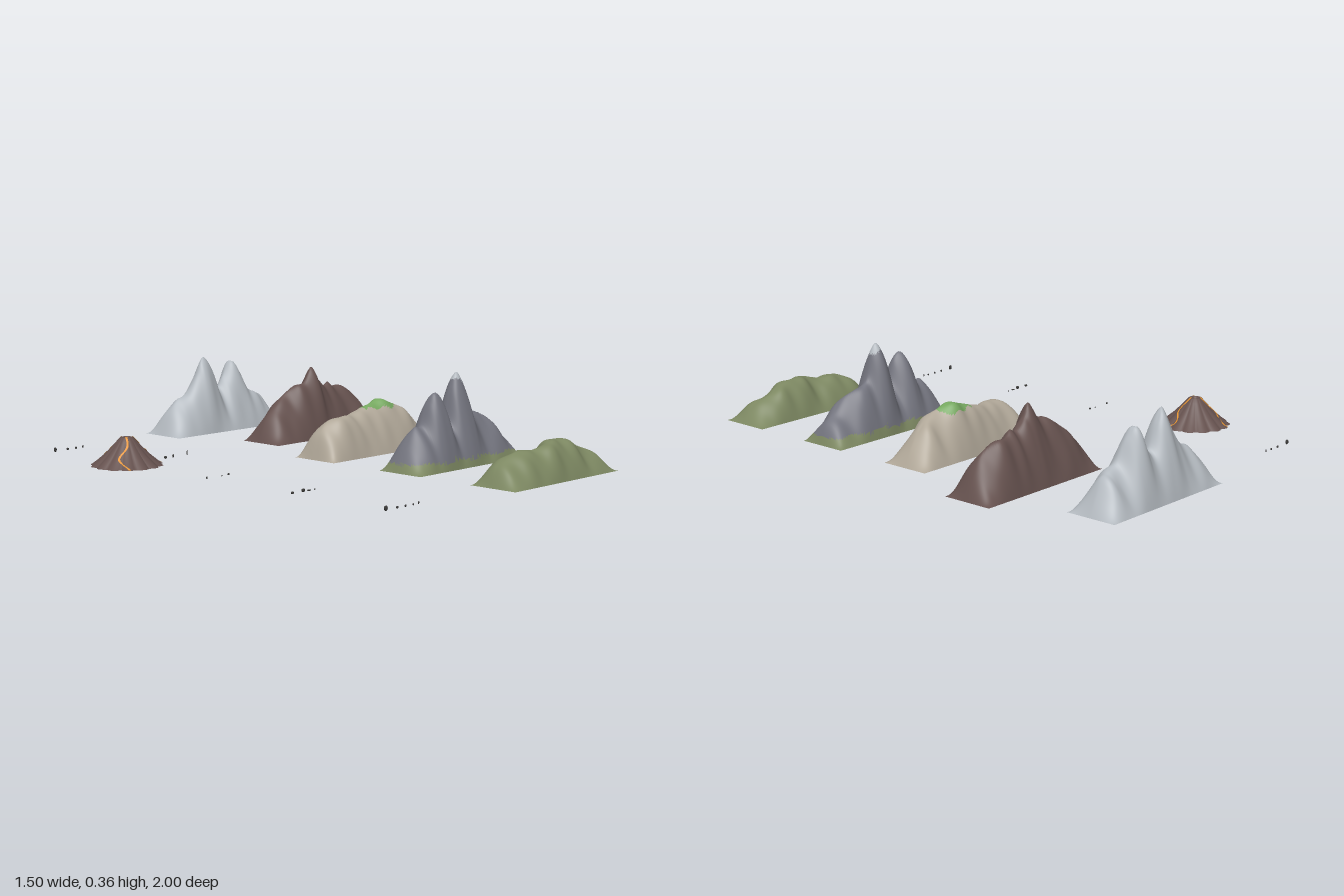
import * as THREE from 'three';

const paint = (name, color) => {
  const m = new THREE.MeshStandardMaterial({ color, side: THREE.DoubleSide });
  m.name = name;
  return m;
};

export function createModel() {
  const model = new THREE.Group();
  model.name = 'mountainSet';
  const mat = {
    heath: paint('heath green', 0x7d8862),
    slate: paint('slate grey', 0x74757f),
    sand: paint('sandstone', 0xb0a798),
    grass: paint('fresh grass', 0x76a860),
    brown: paint('dark brown rock', 0x66524f),
    snow: paint('pale snow', 0xb4bac0),
    lava: paint('lava orange', 0xf09a30),
    dark: paint('dark stone', 0x3c3b39),
  };

  // Open shell: a crest profile swept along x with a rounded, gullied cross-section.
  // pick(x, y, t) returns the index of the material used for a face.
  function ridge(name, z0, crest, power, seed, mats, pick = () => 0) {
    const nx = 110, nz = 40, half = 0.105;
    const curve = new THREE.SplineCurve(crest.map(([x, y]) => new THREE.Vector2(x, y)));
    const pos = [], faces = mats.map(() => []);
    for (let i = 0; i <= nx; i++) {
      const p = curve.getPoint(i / nx);
      const h = Math.max(0, p.y);
      const shift = 0.13 * Math.sin(17 * p.x + seed) + 0.06 * Math.sin(41 * p.x + seed * 2);
      for (let j = 0; j <= nz; j++) {
        const t = (j / nz) * 2 - 1;
        const s = Math.min(1, Math.abs(t + shift * (1 - t * t)));
        const gully = Math.sin(48 * p.x + seed + 2.5 * t) + 0.6 * Math.sin(83 * p.x + seed * 3 - 3 * t);
        const y = h * (1 - Math.pow(s, power) + 0.07 * gully * s * (1 - s) * 2);
        pos.push(p.x, Math.max(0, y), z0 + half * t);
      }
    }
    const w = nz + 1;
    for (let i = 0; i < nx; i++) for (let j = 0; j < nz; j++) {
      const a = i * w + j, b = a + 1, c = a + w, d = c + 1;
      for (const f of [[a, b, c], [b, d, c]]) {
        const mid = k => f.reduce((sum, v) => sum + pos[v * 3 + k], 0) / 3;
        faces[pick(mid(0), mid(1), (mid(2) - z0) / half)].push(...f);
      }
    }
    const geo = new THREE.BufferGeometry();
    geo.setAttribute('position', new THREE.Float32BufferAttribute(pos, 3));
    geo.setIndex(faces.flat());
    let start = 0;
    faces.forEach((f, k) => { geo.addGroup(start, f.length, k); start += f.length; });
    geo.computeVertexNormals();
    const mesh = new THREE.Mesh(geo, mats);
    mesh.name = name;
    model.add(mesh);
  }

  ridge('greenHills', 0.895, [[-0.03, 0], [0.01, 0.07], [0.07, 0.105], [0.12, 0.12], [0.19, 0.117], [0.25, 0.13],
    [0.32, 0.142], [0.4, 0.135], [0.46, 0.11], [0.54, 0.07], [0.6, 0]], 2, 0.5, [mat.heath]);

  // Slate peaks with a green foot and a snowy tip
  ridge('slatePeaks', 0.445, [[-0.03, 0], [0.01, 0.095], [0.055, 0.165], [0.095, 0.17], [0.125, 0.25], [0.152, 0.293],
    [0.185, 0.265], [0.215, 0.18], [0.24, 0.172], [0.27, 0.29], [0.302, 0.357], [0.33, 0.325], [0.358, 0.23],
    [0.39, 0.2], [0.43, 0.19], [0.47, 0.168], [0.52, 0.115], [0.57, 0.075], [0.6, 0]], 1.7, 1.7,
    [mat.slate, mat.heath, mat.snow],
    (x, y) => y < 0.036 + 0.004 * Math.sin(40 * x) ? 1 : y > 0.325 + 0.008 * Math.sin(90 * x) ? 2 : 0);

  // Sandstone ridge with a grassy top
  ridge('sandstoneRidge', 0, [[-0.03, 0], [0, 0.1], [0.05, 0.148], [0.12, 0.16], [0.2, 0.163], [0.27, 0.182],
    [0.31, 0.195], [0.35, 0.205], [0.39, 0.193], [0.44, 0.172], [0.49, 0.145], [0.54, 0.095], [0.6, 0]], 2, 3.1,
    [mat.sand, mat.grass],
    (x, y) => x > 0.26 && x < 0.41 && y > 0.174 + 0.006 * Math.sin(95 * x) ? 1 : 0);

  ridge('brownMountains', -0.455, [[0.12, 0], [0.16, 0.09], [0.21, 0.145], [0.27, 0.19], [0.32, 0.222], [0.36, 0.235],
    [0.41, 0.295], [0.445, 0.248], [0.49, 0.208], [0.525, 0.22], [0.56, 0.2], [0.615, 0.195], [0.67, 0.155],
    [0.71, 0.095], [0.75, 0]], 1.65, 4.4, [mat.brown]);

  ridge('snowPeaks', -0.895, [[-0.03, 0], [0.01, 0.09], [0.055, 0.145], [0.1, 0.165], [0.15, 0.24], [0.18, 0.298],
    [0.21, 0.317], [0.245, 0.27], [0.29, 0.178], [0.33, 0.22], [0.375, 0.284], [0.41, 0.25], [0.45, 0.165],
    [0.5, 0.14], [0.54, 0.115], [0.6, 0]], 1.75, 2.4, [mat.snow]);

  // Fluted volcano, open underneath
  const volcano = new THREE.Group();
  volcano.name = 'volcano';
  volcano.position.set(-0.61, 0, -0.45);
  model.add(volcano);
  const flute = (a, r) => r * (1 - 0.09 * Math.min(1, r / 0.14) * (1 - Math.abs(Math.cos(a * 7))));
  const profile = [[0.142, 0], [0.12, 0.016], [0.09, 0.041], [0.06, 0.071], [0.04, 0.093], [0.026, 0.108],
    [0.02, 0.11], [0.014, 0.106], [0.007, 0.095], [0, 0.092]].map(([r, y]) => new THREE.Vector2(r, y)).reverse();
  const cone = new THREE.LatheGeometry(profile.reverse(), 112);
  const cp = cone.attributes.position;
  for (let i = 0; i < cp.count; i++) {
    const x = cp.getX(i), z = cp.getZ(i), r = Math.hypot(x, z), a = Math.atan2(z, x);
    const k = r > 1e-6 ? flute(a, r) / r : 1;
    cp.setXYZ(i, x * k, cp.getY(i), z * k);
  }
  cone.computeVertexNormals();
  const body = new THREE.Mesh(cone, mat.brown);
  body.name = 'volcanoCone';
  volcano.add(body);

  // Lava streams: thin winding strips lying on the cone
  const slope = profile.filter(p => p.x >= 0.02).sort((p, q) => p.x - q.x);
  const heightAt = r => {
    const k = Math.max(1, slope.findIndex(p => p.x >= r));
    const p = slope[k - 1], q = slope[k];
    return p.y + (q.y - p.y) * (r - p.x) / (q.x - p.x);
  };
  [[-2.0, 1], [0.33, -1], [2.4, 1]].forEach(([angle, way], n) => {
    const pos = [], idx = [], steps = 40;
    for (let i = 0; i <= steps; i++) {
      const r = 0.021 + 0.12 * i / steps;
      const a = angle + way * 0.2 * Math.sin(r * 62 + n);
      for (let j = 0; j <= 4; j++) {
        const b = a + (j / 4 - 0.5) * 0.0085 / r, f = flute(b, r);
        pos.push(Math.cos(b) * f, heightAt(r) + 0.002, Math.sin(b) * f);
        if (i < steps && j < 4) {
          const v = i * 5 + j;
          idx.push(v, v + 1, v + 5, v + 1, v + 6, v + 5);
        }
      }
    }
    const geo = new THREE.BufferGeometry();
    geo.setAttribute('position', new THREE.Float32BufferAttribute(pos, 3));
    geo.setIndex(idx);
    geo.computeVertexNormals();
    const stream = new THREE.Mesh(geo, mat.lava);
    stream.name = 'lavaStream';
    volcano.add(stream);
  });

  // Rows of tiny boulders and standing stones: x, width, height
  const rows = [
    [-0.895, [[-0.607, 0.013, 0.02], [-0.543, 0.01, 0.01], [-0.5, 0.008, 0.01], [-0.464, 0.006, 0.012]]],
    [-0.45, [[-0.41, 0.013, 0.012], [-0.37, 0.008, 0.014], [-0.295, 0.005, 0.022]]],
    [0, [[-0.607, 0.007, 0.01], [-0.53, 0.004, 0.005], [-0.496, 0.009, 0.009]]],
    [0.445, [[-0.605, 0.014, 0.01], [-0.55, 0.016, 0.014], [-0.52, 0.018, 0.006], [-0.49, 0.005, 0.006]]],
    [0.895, [[-0.608, 0.016, 0.02], [-0.549, 0.01, 0.01], [-0.507, 0.009, 0.009], [-0.466, 0.006, 0.008],
      [-0.438, 0.005, 0.012]]],
  ];
  const stone = new THREE.DodecahedronGeometry(0.5);
  for (const [z, items] of rows) for (const [x, w, h] of items) {
    const rock = new THREE.Mesh(stone, mat.dark);
    rock.name = 'boulder';
    rock.scale.set(w, h, Math.min(w, 0.012));
    rock.position.set(x, h * 0.47, z);
    model.add(rock);
  }
  return model;
}
